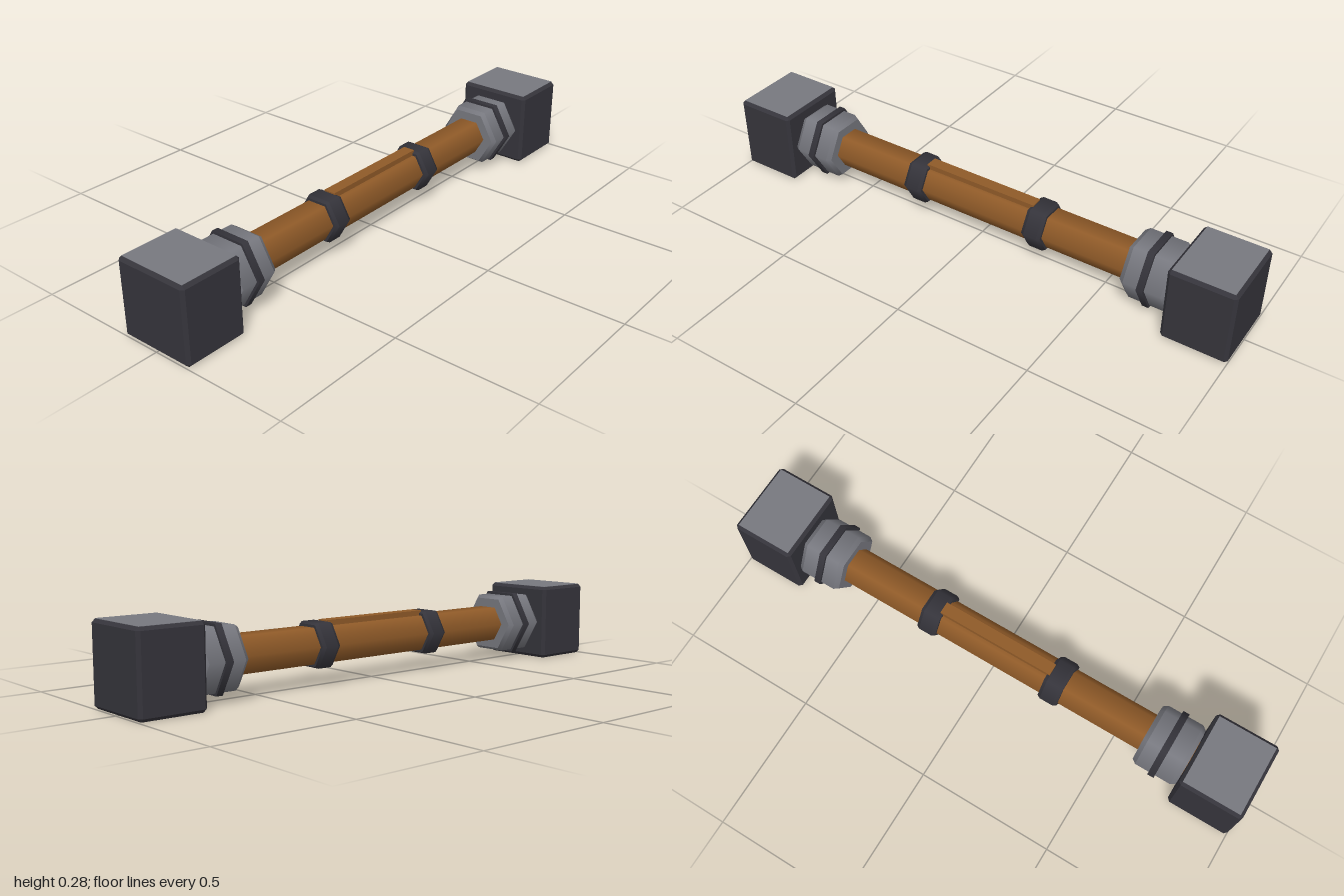
import * as THREE from 'three';
import { mergeGeometries } from 'three/addons/utils/BufferGeometryUtils.js';
import { ConvexGeometry } from 'three/addons/geometries/ConvexGeometry.js';

const material = (name, color) => new THREE.MeshStandardMaterial({ name, color });

export function createModel() {
  const group = new THREE.Group();
  const wood = material('brown wood', 0x8f5a28);
  const steel = material('grey steel', 0x77787f);
  const iron = material('dark iron', 0x35343b);
  const axisY = 0.14;

  const add = (name, geometry, mat, x, y, z) => {
    const mesh = new THREE.Mesh(geometry, mat);
    mesh.name = name;
    mesh.position.set(x, y, z);
    group.add(mesh);
    return mesh;
  };

  // six-sided bar along z with chamfered ends and points at the sides
  const hexBar = (radius, length, cut, bevel) => {
    const section = (r0, r1, len, at, open) =>
      new THREE.CylinderGeometry(r1, r0, len, 6, 1, open, Math.PI / 6).translate(0, at, 0);
    const parts = [section(radius, radius, length - 2 * bevel, 0, bevel > 0)];
    if (bevel > 0) {
      const at = (length - bevel) / 2;
      parts.push(section(radius, radius - cut, bevel, at, false));
      parts.push(section(radius - cut, radius, bevel, -at, false));
    }
    return mergeGeometries(parts).rotateX(Math.PI / 2);
  };

  // box with all edges chamfered
  const chamferBox = (w, h, d, c) => {
    const points = [];
    for (const x of [-1, 1]) for (const y of [-1, 1]) for (const z of [-1, 1]) {
      for (let axis = 0; axis < 3; axis++) {
        const inset = [c, c, c];
        inset[axis] = 0;
        points.push(new THREE.Vector3(
          x * (w / 2 - inset[0]), y * (h / 2 - inset[1]), z * (d / 2 - inset[2])));
      }
    }
    return new ConvexGeometry(points);
  };

  // handle and the raised strip along its top
  add('handle', hexBar(0.071, 1.56, 0, 0), wood, 0, axisY, 0);
  add('handleStrip', new THREE.BoxGeometry(0.044, 0.03, 0.44), wood, 0, 0.205, 0);

  // matching grip band, collar and head at each end
  for (const side of [-1, 1]) {
    add('gripBand', hexBar(0.088, 0.074, 0.007, 0.012), iron, 0, axisY, side * 0.247);
    add('collar', hexBar(0.12, 0.166, 0.012, 0.016), steel, 0, axisY, side * 0.683);
    add('collarRing', hexBar(0.13, 0.024, 0, 0), iron, 0, axisY, side * 0.68);
    add('headBlock', chamferBox(0.28, 0.276, 0.232, 0.011), iron, 0, 0.138, side * 0.884);
    add('headTopPlate', new THREE.BoxGeometry(0.258, 0.004, 0.21), steel, 0, 0.275, side * 0.884);
  }
  return group;
}
